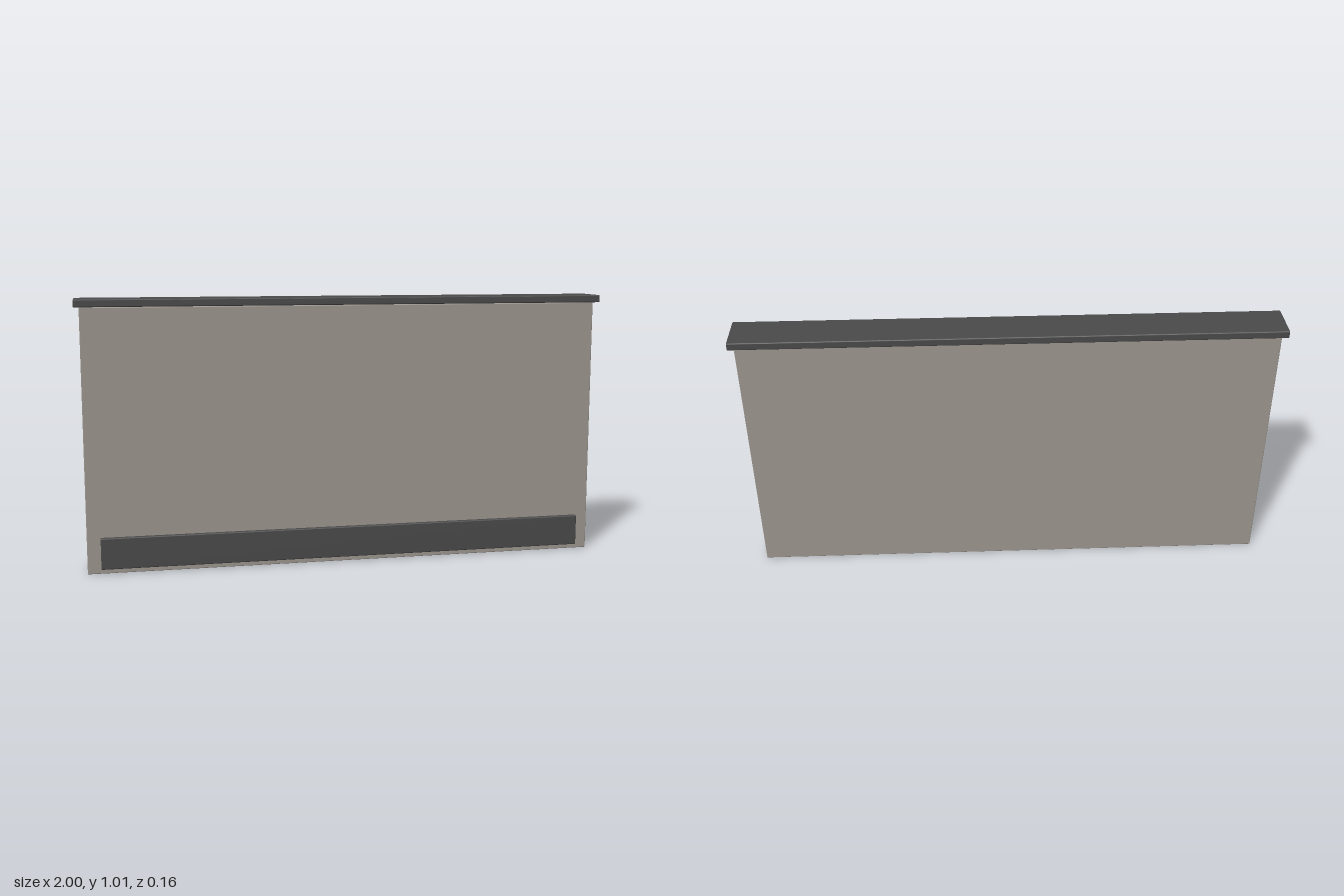
import * as THREE from 'three';
import { RoundedBoxGeometry } from 'three/addons/geometries/RoundedBoxGeometry.js';

export function createModel() {
  const group = new THREE.Group();
  const stone = new THREE.MeshStandardMaterial({ color: 0x9c968e });
  stone.name = 'warm grey';
  const dark = new THREE.MeshStandardMaterial({ color: 0x4a4a4a });
  dark.name = 'dark grey';

  // Box with softened edges, placed by its bottom height and centre depth
  const addSlab = (name, material, [w, h, d], bottom, z, radius) => {
    const mesh = new THREE.Mesh(new RoundedBoxGeometry(w, h, d, 2, radius), material);
    mesh.name = name;
    mesh.position.set(0, bottom + h / 2, z);
    group.add(mesh);
  };

  // Upright panel
  addSlab('panel', stone, [1.96, 0.983, 0.116], 0, 0, 0.003);
  // Overhanging cap along the top
  addSlab('topCap', dark, [2, 0.028, 0.156], 0.984, 0, 0.004);
  // Kick plate on the front, near the floor
  addSlab('kickPlate', dark, [1.86, 0.118, 0.02], 0.02, 0.069, 0.004);

  return group;
}
